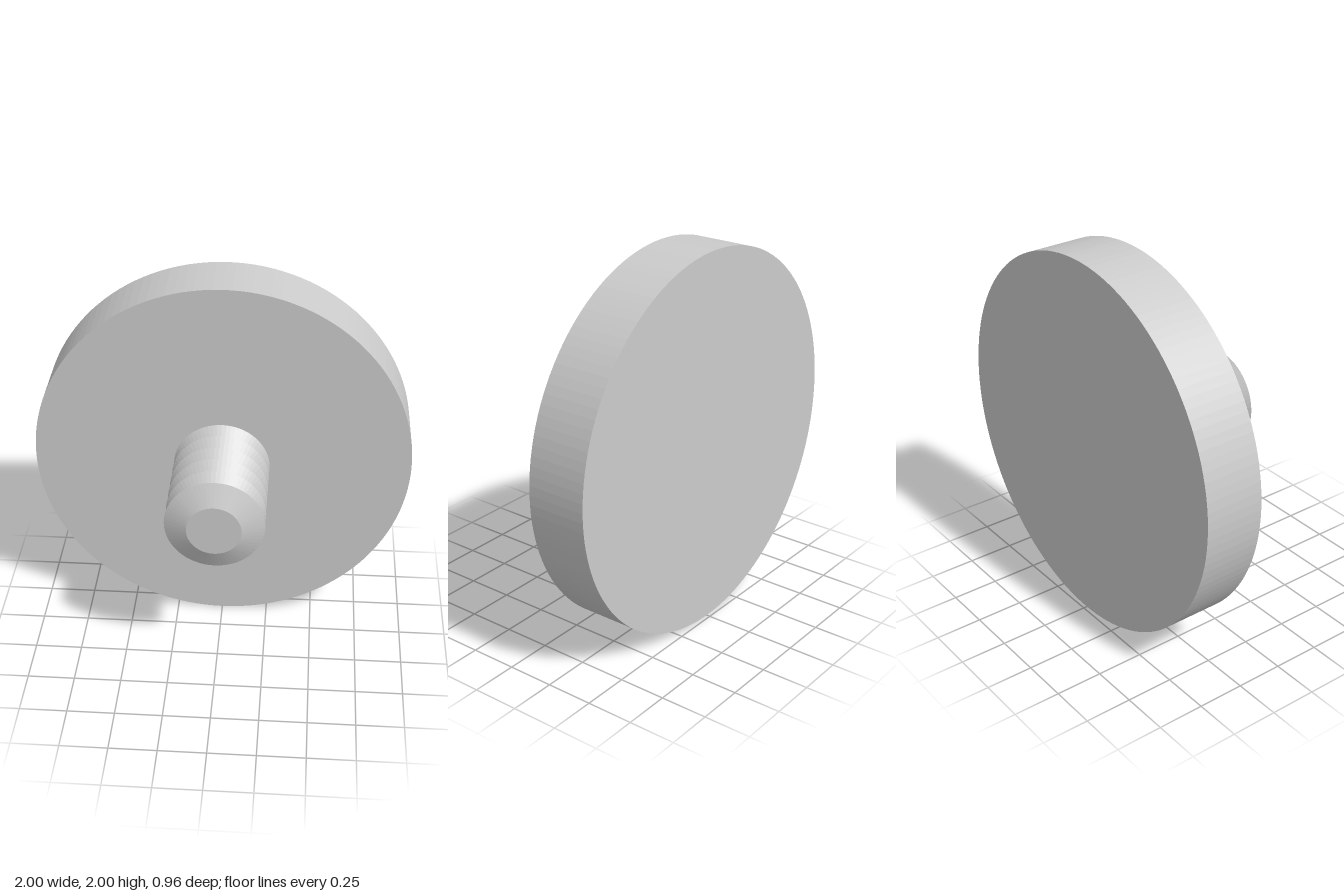
import * as THREE from 'three';

export function createModel() {
  const model = new THREE.Group();
  const material = new THREE.MeshStandardMaterial({ color: 0xcccccc, flatShading: true });

  const addPart = (name, geometry, z) => {
    geometry.rotateX(Math.PI / 2); // axis from y to z
    const mesh = new THREE.Mesh(geometry, material);
    mesh.name = name;
    mesh.position.set(0, 1, z);
    model.add(mesh);
  };

  // Round plate at the back
  const plateBack = -0.48, plateFront = -0.16;
  addPart('disc', new THREE.CylinderGeometry(1, 1, plateFront - plateBack, 128), (plateBack + plateFront) / 2);

  // Threaded stud: V-shaped ridges ending in a chamfered tip
  const ridges = 6, pitch = 0.64 / ridges, root = 0.2, crest = 0.253;
  const profile = [new THREE.Vector2(root, 0)];
  for (let i = 0; i < ridges; i++) {
    const last = i === ridges - 1;
    profile.push(new THREE.Vector2(crest, (i + 0.5) * pitch));
    profile.push(new THREE.Vector2(last ? 0.138 : root, (i + 1) * pitch));
  }
  profile.push(new THREE.Vector2(0, ridges * pitch));
  addPart('threadedStud', new THREE.LatheGeometry(profile, 64), plateFront);

  return model;
}
